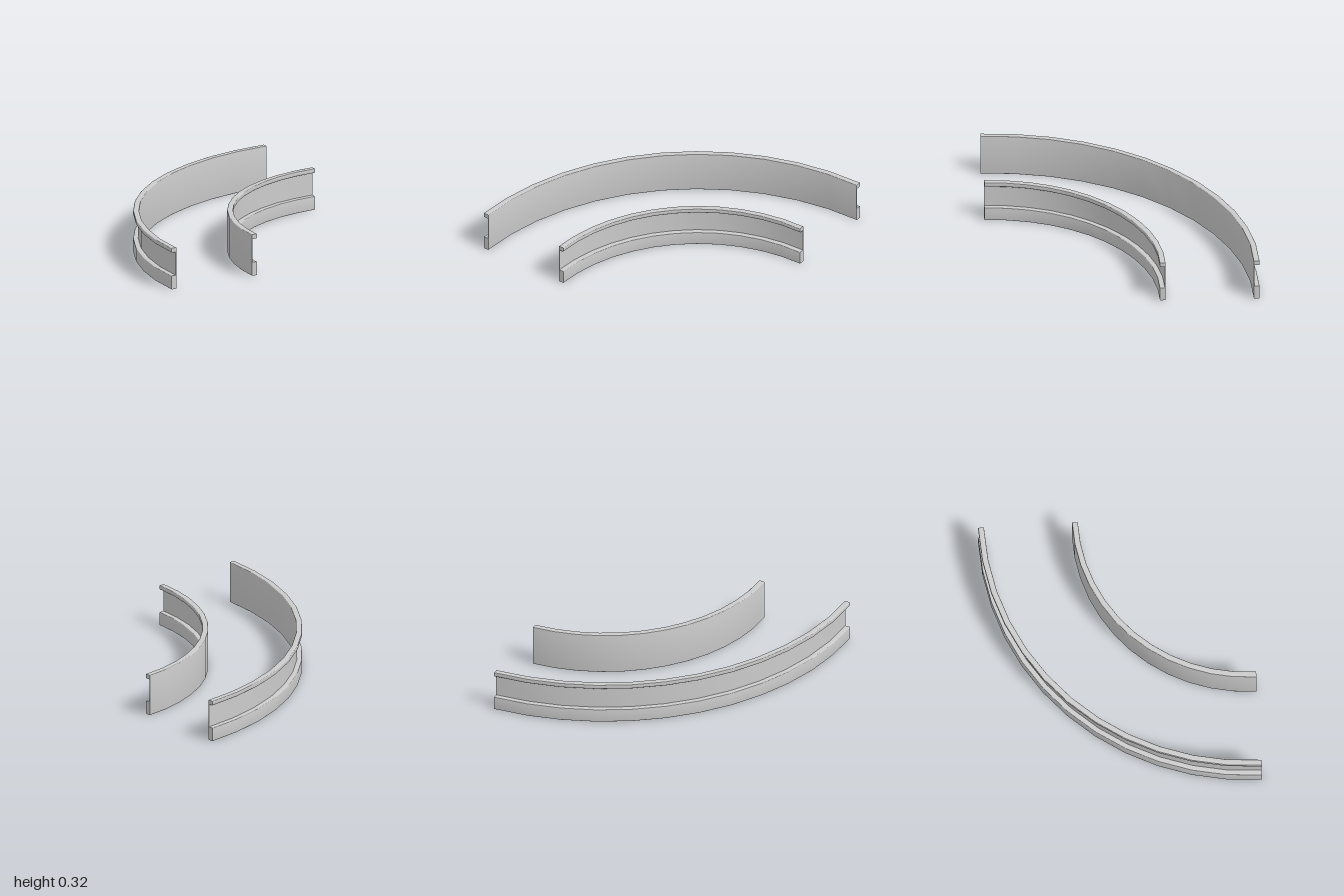
import * as THREE from 'three';
import { toCreasedNormals } from 'three/addons/utils/BufferGeometryUtils.js';

const SEGMENTS = 12;
const DEPTH = 0.044, WEB = 0.006, HEIGHT = 0.32;

// Channel section as [distance from the web's back, height, corner rounding]
const SECTION = [
  [0, 0, 0.006], [DEPTH, 0, 0.006], [DEPTH, 0.105, 0.006], [WEB, 0.105, 0],
  [WEB, 0.285, 0], [DEPTH, 0.285, 0.01], [DEPTH, HEIGHT, 0.006], [0, HEIGHT, 0.006],
];

// Replace each rounded corner with a short curve
function roundedSection() {
  const at = (i) => SECTION[(i + SECTION.length) % SECTION.length];
  const points = [];
  SECTION.forEach(([x, y, r], i) => {
    const corner = new THREE.Vector2(x, y);
    if (r === 0) return points.push(corner);
    const toward = ([px, py]) =>
      new THREE.Vector2(px - x, py - y).setLength(r).add(corner);
    const curve = new THREE.QuadraticBezierCurve(toward(at(i - 1)), corner, toward(at(i + 1)));
    points.push(...curve.getPoints(3));
  });
  return points;
}

// Quarter-circle rail; direction +1 opens the channel outward, -1 inward
function createRail(name, backRadius, direction, material) {
  const rail = new THREE.Group();
  rail.name = name;
  const profile = roundedSection().map((p) => new THREE.Vector2(backRadius + direction * p.x, p.y));
  if (direction < 0) profile.reverse();

  // Swept channel, scaled up while creasing so that small edges stay distinct
  const swept = new THREE.LatheGeometry([...profile, profile[0].clone()], SEGMENTS, Math.PI, Math.PI / 2);
  swept.scale(100, 100, 100);
  const body = toCreasedNormals(swept, THREE.MathUtils.degToRad(42));
  body.scale(0.01, 0.01, 0.01);
  const channel = new THREE.Mesh(body, material);
  channel.name = 'channel';

  // Flat faces closing both cut ends
  const cap = (side) => new THREE.ShapeGeometry(
    new THREE.Shape(profile.map((p) => new THREE.Vector2(side * p.x, p.y))));
  const frontEnd = new THREE.Mesh(cap(-1), material);
  frontEnd.name = 'frontEnd';
  const sideEnd = new THREE.Mesh(cap(1).rotateY(Math.PI / 2), material);
  sideEnd.name = 'sideEnd';

  rail.add(channel, frontEnd, sideEnd);
  rail.position.set(1, 0, 1);
  return rail;
}

export function createModel() {
  const material = new THREE.MeshStandardMaterial({ color: 0xcccccc });
  const model = new THREE.Group();
  model.name = 'curvedRails';
  model.add(
    createRail('outerRail', 2 - DEPTH, 1, material),
    createRail('innerRail', 1.3, -1, material),
  );
  return model;
}
